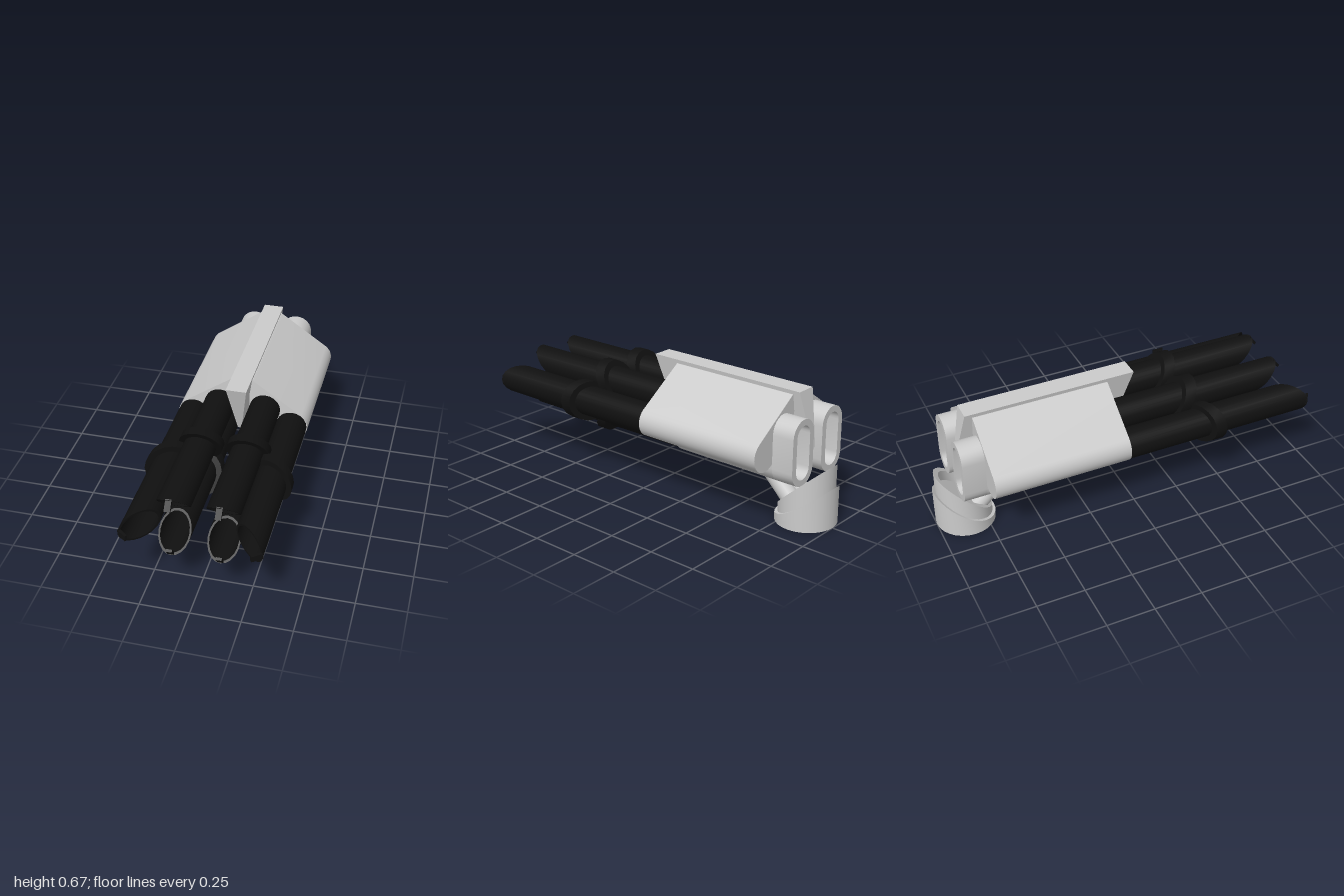
import * as THREE from 'three';
import { toCreasedNormals } from 'three/addons/utils/BufferGeometryUtils.js';

const grey = new THREE.MeshStandardMaterial({ color: 0xcccccc, side: THREE.DoubleSide });
const black = new THREE.MeshStandardMaterial({ color: 0x101010, side: THREE.DoubleSide });

function add(parent, name, geometry, material) {
  const mesh = new THREE.Mesh(geometry, material);
  mesh.name = name;
  parent.add(mesh);
  return mesh;
}

// Revolved profile; rule(j, x, y, z) returns the new height of profile point j
function lathe(profile, sides, rule) {
  const geo = new THREE.LatheGeometry(profile.map(([r, y]) => new THREE.Vector2(r, y)), sides);
  const p = geo.attributes.position;
  for (let i = 0; i < p.count; i++) {
    p.setY(i, rule(i % profile.length, p.getX(i), p.getY(i), p.getZ(i)));
  }
  return toCreasedNormals(geo, 0.6);
}

// Points on an arc, angles in degrees
function arc(cx, cy, r, from, to, steps = 12) {
  return Array.from({ length: steps + 1 }, (_, i) => {
    const a = THREE.MathUtils.degToRad(from + (to - from) * i / steps);
    return new THREE.Vector2(cx + r * Math.cos(a), cy + r * Math.sin(a));
  });
}

function extrude(shape, back, front) {
  const geo = new THREE.ExtrudeGeometry(shape, { depth: front - back, bevelEnabled: false });
  return toCreasedNormals(geo.translate(0, 0, back), 0.6);
}

const stadium = (cx, r) => [...arc(cx, 0.485, r, 0, 180), ...arc(cx, 0.315, r, 180, 360)];

// Barrel whose long lip points to local +y; muzzle is the lip-to-axis cut position
function makeBarrel(muzzle, collarZ, back) {
  const barrel = new THREE.Group();
  barrel.name = 'barrel';
  // After turning the lathe axis to +z, lathe -z becomes local +y
  const tube = lathe(
    [[0.08, back], [0.08, muzzle], [0.071, muzzle], [0.071, 0.5], [0, 0.5]], 20,
    (j, x, y, z) => (j === 1 || j === 2 ? y - z : y));
  add(barrel, 'barrelTube', tube.rotateX(Math.PI / 2), black);

  const collar = lathe(
    [[0.078, -0.03], [0.109, -0.03], [0.109, 0.03], [0.078, 0.03]], 18,
    (j, x, y, z) => collarZ + y - 0.5 * z);
  add(barrel, 'barrelCollar', collar.rotateX(Math.PI / 2), black);

  const hook = add(barrel, 'muzzleHook', new THREE.BoxGeometry(0.03, 0.06, 0.014), black);
  hook.position.set(0, 0.055, muzzle + 0.086);
  hook.rotation.x = -0.67;
  return barrel;
}

export function createModel() {
  const model = new THREE.Group();
  model.name = 'launcher';

  for (const s of [1, -1]) {
    // Three barrels per side, each turned so its lip faces outward
    const barrels = [
      { x: 0.262, y: 0.4, turn: -s * Math.PI / 2, muzzle: 0.89, collar: 0.385, back: -0.1 },
      { x: 0.12, y: 0.485, turn: 0, muzzle: 0.8, collar: 0.306, back: -0.1 },
      { x: 0.12, y: 0.315, turn: Math.PI, muzzle: 0.8, collar: 0.306, back: -0.2 },
    ];
    for (const b of barrels) {
      // Lathe -z turns to local +y, so the group only needs the roll
      const barrel = makeBarrel(b.muzzle, b.collar, b.back);
      barrel.position.set(s * b.x, b.y, 0);
      barrel.rotation.z = b.turn;
      model.add(barrel);
    }

    // Sloping wing housing around the upper and outer barrels
    const wing = [
      new THREE.Vector2(0.037, 0.645), new THREE.Vector2(0.053, 0.645),
      ...arc(0.262, 0.4, 0.083, 53, -121, 16),
      ...arc(0.12, 0.485, 0.083, -121, -180, 6),
    ].map((p) => new THREE.Vector2(s * p.x, p.y));
    add(model, 'wingHousing', extrude(new THREE.Shape(wing), -0.777, -0.06), grey);

    // Double-barrel sleeve, ending in a recessed rear port
    const sleeve = new THREE.Shape(stadium(s * 0.12, 0.084));
    add(model, 'sleeve', extrude(sleeve, -0.777, -0.18), grey);
    const port = new THREE.Shape(stadium(s * 0.12, 0.084));
    port.holes.push(new THREE.Path(stadium(s * 0.12, 0.052).reverse()));
    add(model, 'rearPort', extrude(port, -0.893, -0.777), grey);

    // Slanted support pipe from the base to the sleeve
    const pipe = add(model, 'supportPipe', new THREE.CylinderGeometry(0.046, 0.046, 0.25, 24), grey);
    pipe.position.set(s * 0.049, 0.195, -0.7);
    pipe.rotation.x = Math.PI / 4;
  }

  // Central fin: a box tapering downward with raked ends
  const fin = new THREE.BoxGeometry(1, 1, 1);
  const p = fin.attributes.position;
  for (let i = 0; i < p.count; i++) {
    const t = p.getY(i) + 0.5;
    const z = p.getZ(i) > 0 ? 0.086 * t : -0.873 + 0.058 * t;
    p.setXYZ(i, Math.sign(p.getX(i)) * (0.01 + 0.043 * t), 0.385 + 0.28 * t, z);
  }
  fin.computeVertexNormals();
  add(model, 'centralFin', fin, grey);

  // Base: a low curved collar around a hollow, slant-cut socket
  const base = new THREE.Group();
  base.name = 'base';
  base.position.z = -0.845;
  model.add(base);
  add(base, 'baseCollar', lathe(
    [[0, 0], [0.155, 0], [0.155, 0], [0.135, 0]], 28,
    (j, x, y, z) => {
      const t = -z / 0.155;
      return j < 2 ? 0 : 0.09 + 0.09 * t + 0.03 * t * t;
    }), grey);
  add(base, 'baseSocket', lathe(
    [[0.14, 0.01], [0.14, 0.19], [0.117, 0.19], [0.117, 0.13], [0, 0.13]], 28,
    (j, x, y, z) => (j === 0 ? y : y - 0.91 * z)), grey);

  return model;
}
